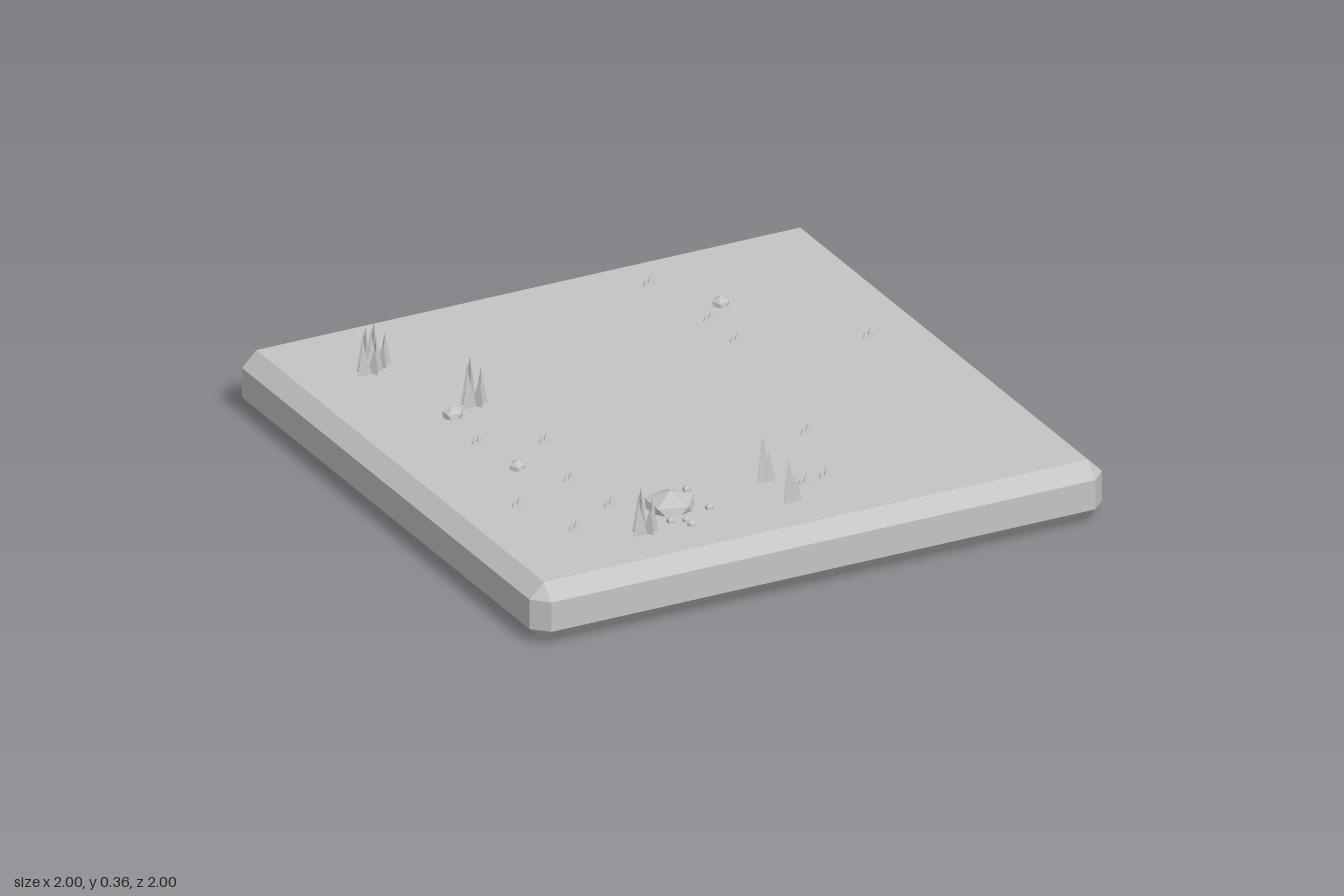
import * as THREE from 'three';
import { ConvexGeometry } from 'three/addons/geometries/ConvexGeometry.js';

const TOP = 0.2;

export function createModel() {
  const model = new THREE.Group();
  const stone = new THREE.MeshStandardMaterial({ color: 0xc4c4c4, flatShading: true });
  stone.name = 'paleGrey';

  const add = (parent, name, geometry, x, y, z) => {
    const mesh = new THREE.Mesh(geometry, stone);
    mesh.name = name;
    mesh.position.set(x, y, z);
    parent.add(mesh);
    return mesh;
  };

  // Ground slab with every edge chamfered by 0.05
  const corners = [];
  for (const sx of [-1, 1]) for (const sz of [-1, 1]) for (const sy of [-1, 1]) {
    corners.push(
      new THREE.Vector3(sx, 0.1 + sy * 0.05, sz * 0.95),
      new THREE.Vector3(sx * 0.95, 0.1 + sy * 0.05, sz),
      new THREE.Vector3(sx * 0.95, 0.1 + sy * 0.1, sz * 0.95));
  }
  add(model, 'groundSlab', new ConvexGeometry(corners), 0, 0, 0);

  // Almost flush ground patches
  for (const [x, z, r] of [[-0.35, 0.66, 0.22], [-0.3, -0.07, 0.14]]) {
    const patch = new THREE.CircleGeometry(r, 7).rotateX(-Math.PI / 2);
    add(model, 'groundPatch', patch, x, TOP + 0.001, z);
  }

  // Half-buried rocks: flattened icosahedra standing on a point
  const rock = (name, x, z, rx, ry, rz, turn) => {
    const g = new THREE.IcosahedronGeometry(1, 0)
      .rotateX(-Math.atan2((1 + Math.sqrt(5)) / 2, 1))
      .scale(rx, ry, rz);
    add(model, name, g, x, TOP, z).rotation.y = turn;
  };
  rock('boulder', -0.35, 0.65, 0.092, 0.055, 0.088, 0.3);
  rock('rock', 0.475, -0.575, 0.036, 0.03, 0.029, 0.7);
  rock('rock', -0.635, -0.245, 0.042, 0.035, 0.034, 0.4);
  rock('rock', -0.635, 0.18, 0.036, 0.03, 0.027, 0.8);
  for (const [x, z] of [[-0.4, 0.75], [-0.355, 0.765], [-0.355, 0.8], [-0.25, 0.57], [-0.25, 0.72]]) {
    rock('pebble', x, z, 0.016, 0.021, 0.016, x * 9);
  }

  // Three-sided blade with a point facing the back
  const blade = (parent, x, z, r, h, turn = 0) => {
    const g = new THREE.ConeGeometry(r, h, 3, 1).rotateY(Math.PI + turn);
    add(parent, 'grassBlade', g, x, h / 2, z);
  };
  const clump = (name, x, z) => {
    const group = new THREE.Group();
    group.name = name;
    group.position.set(x, TOP, z);
    model.add(group);
    return group;
  };

  // Small tufts of two blades
  const tufts = [
    [0.34, -0.8], [0.385, -0.485], [0.385, -0.31], [0.765, -0.15], [0.27, 0.375],
    [-0.665, -0.03], [-0.475, 0.055], [-0.54, 0.34], [-0.765, 0.425], [-0.515, 0.56],
    [-0.69, 0.66], [0.09, 0.7], [0.17, 0.685],
  ];
  for (const [x, z] of tufts) {
    const tuft = clump('smallTuft', x, z);
    blade(tuft, -0.012, 0.003, 0.015, 0.026);
    blade(tuft, 0.008, 0, 0.02, 0.037);
  }

  // Tall clumps of several blades
  const wide = [[-0.025, 0.012, 0.11], [0.022, 0.012, 0.12], [0, -0.018, 0.15], [0.012, 0.02, 0.09], [-0.014, -0.008, 0.135]];
  const narrow = [[0, -0.005, 0.152], [-0.013, 0.012, 0.09], [0.014, 0.012, 0.1]];
  const clumps = [
    [-0.715, -0.655, wide, 0.95], [-0.67, -0.685, wide, 0.9], [-0.54, -0.295, wide, 1.05],
    [-0.505, 0.768, wide, 0.95], [-0.005, 0.61, narrow, 1], [0, 0.775, narrow, 0.92],
  ];
  for (const [x, z, blades, s] of clumps) {
    const tall = clump('tallGrass', x, z);
    blades.forEach(([bx, bz, h], i) => blade(tall, bx, bz, i ? 0.022 : 0.028, h * s, blades === wide ? i * 0.35 : 0));
  }

  return model;
}
